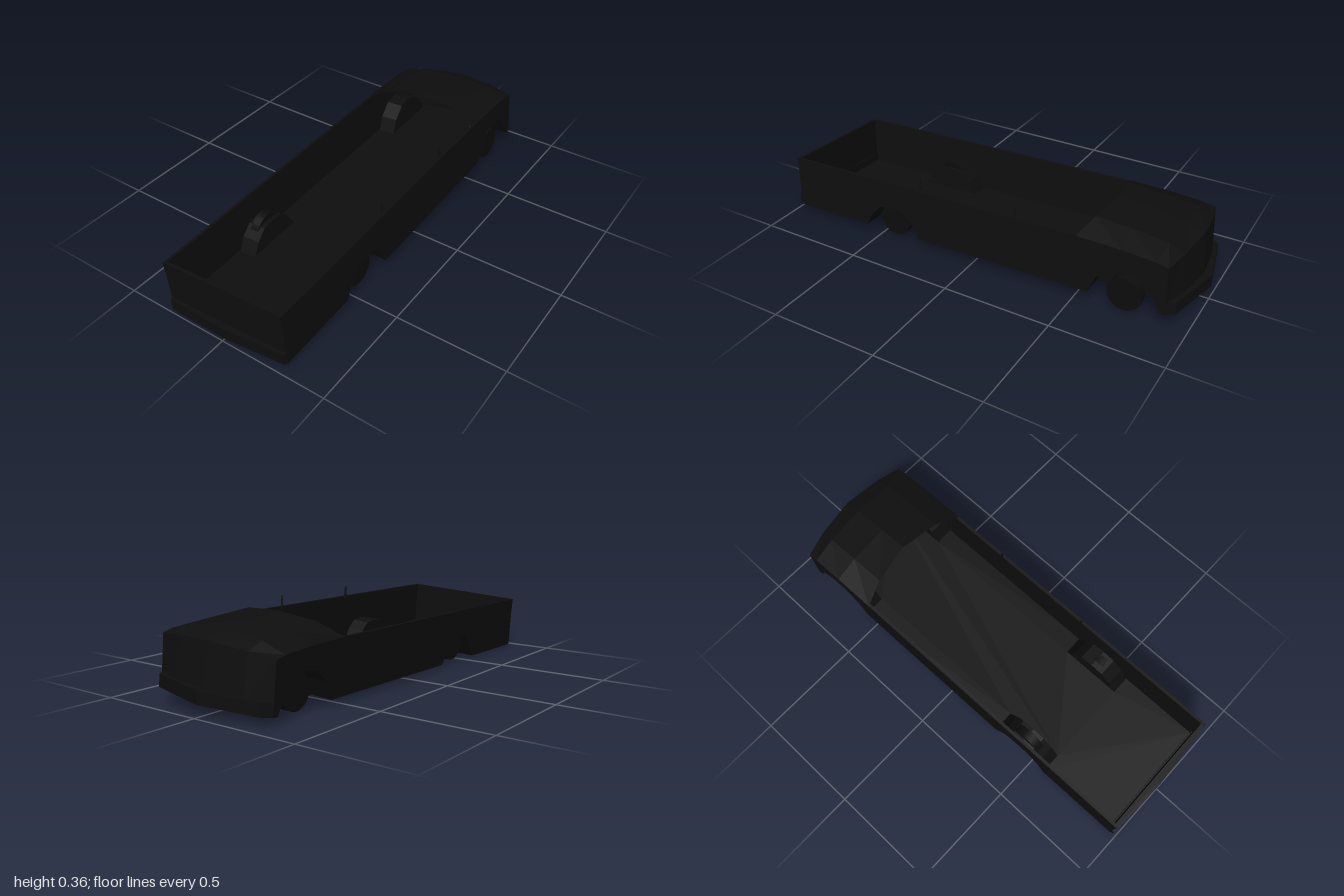
import * as THREE from 'three';

const paint = new THREE.MeshStandardMaterial({ color: 0x0e0e0e, side: THREE.DoubleSide });
paint.name = 'black paint';
const rubber = new THREE.MeshStandardMaterial({ color: 0x0d0d0d });
rubber.name = 'black rubber';

const BOTTOM = 0.035, HALF = 0.3, WELL = 0.2;

// wheel arch outlines as (z, y), running front to back
const frontArch = [[-0.88, BOTTOM], [-0.84, 0.12], [-0.78, 0.168], [-0.72, 0.183], [-0.66, 0.17], [-0.6, 0.115], [-0.565, BOTTOM]];
const rearArch = [[0.28, BOTTOM], [0.32, 0.11], [0.36, 0.148], [0.42, 0.155], [0.48, 0.148], [0.53, 0.105], [0.57, BOTTOM]];

const shapeOf = pts => new THREE.Shape(pts.map(p => new THREE.Vector2(...p)));

function add(parent, name, geometry, material = paint) {
  const mesh = new THREE.Mesh(geometry, material);
  mesh.name = name;
  parent.add(mesh);
  return mesh;
}

// flat-shaded skin stretched over rows of points
function skin(rows) {
  const n = rows[0].length, index = [];
  for (let r = 0; r < rows.length - 1; r++) {
    for (let i = 0; i < n - 1; i++) {
      const a = r * n + i, b = a + 1, c = a + n, d = c + 1;
      index.push(a, b, c, b, d, c);
    }
  }
  const g = new THREE.BufferGeometry();
  g.setAttribute('position', new THREE.Float32BufferAttribute(rows.flat(2), 3));
  g.setIndex(index);
  const flat = g.toNonIndexed();
  flat.computeVertexNormals();
  return flat;
}

// extrude a plan outline (x, z) downwards from height top
function slab(outline, top, depth) {
  const g = new THREE.ExtrudeGeometry(shapeOf(outline), { depth, bevelEnabled: false });
  return g.rotateX(Math.PI / 2).translate(0, top, 0);
}

// mirror a half outline across x = 0
const mirrored = half => [...half, ...half.map(([x, z]) => [-x, z]).reverse()];

export function createModel() {
  const model = new THREE.Group();
  model.name = 'openCarBody';

  // the shell leans slightly on its wheels
  const shell = new THREE.Group();
  shell.name = 'shell';
  shell.rotation.set(0.018, 0.011, 0.058);
  model.add(shell);

  // side walls with arches cut from the lower edge
  const wall = shapeOf([[0.972, 0.28], [-0.5, 0.28], [-0.7, 0.275], [-0.85, 0.262], [-0.9, 0.25],
    [-0.905, BOTTOM], ...frontArch, ...rearArch, [0.96, BOTTOM]]);
  for (const side of [1, -1]) {
    const label = side > 0 ? 'left' : 'right';
    const g = new THREE.ExtrudeGeometry(wall, { depth: 0.014, bevelEnabled: false });
    g.rotateY(-Math.PI / 2).translate(side > 0 ? HALF : -HALF + 0.014, 0, 0);
    add(shell, label + 'SideWall', g);

    // inner wheel wells
    for (const [name, arch] of [['Front', frontArch], ['Rear', rearArch]]) {
      const well = new THREE.Group();
      well.name = label + name + 'WheelWell';
      shell.add(well);
      const rows = [HALF - 0.002, WELL].map(x => arch.map(([z, y]) => [side * x, y, z]));
      add(well, 'archLining', skin(side > 0 ? rows : rows.reverse()));
      const cap = new THREE.ShapeGeometry(shapeOf(arch));
      add(well, 'wellInnerFace', cap.rotateY(-Math.PI / 2).translate(side * WELL, 0, 0));
    }
  }

  // floor pan notched around the wells
  const notch = arch => [[HALF - 0.005, arch[0][0]], [WELL, arch[0][0]], [WELL, arch[6][0]], [HALF - 0.005, arch[6][0]]];
  add(shell, 'floor', slab(mirrored([[0, -0.96], [0.27, -0.91], [HALF - 0.005, -0.9],
    ...notch(frontArch), ...notch(rearArch), [HALF - 0.005, 0.96]]), 0.05, 0.015));

  // tail panel
  add(shell, 'tailPanel', new THREE.BoxGeometry(2 * HALF, 0.245, 0.014)).position.set(0, 0.1575, 0.962);

  // hood and nose, lofted from the cowl forward; entries are side, shoulder, centre
  const xs = [HALF, 0.185, 0];
  const sections = [
    { z: [-0.5, -0.535, -0.56], y: [0.28, 0.328, 0.346] },
    { z: [-0.7, -0.7, -0.7], y: [0.275, 0.315, 0.33] },
    { z: [-0.85, -0.855, -0.86], y: [0.262, 0.296, 0.306] },
    { z: [-0.9, -0.925, -0.945], y: [0.25, 0.265, 0.275] },
    { z: [-0.905, -0.94, -0.965], y: [0.08, 0.08, 0.08] },
  ];
  add(shell, 'hood', skin(sections.map(s => [0, 1, 2, 1, 0].map((k, i) =>
    [i < 2 ? xs[k] : -xs[k], s.y[k], s.z[k]]))));

  // bumpers with a shallow point in plan
  add(shell, 'frontBumper', slab(mirrored([[0, -0.999], [0.275, -0.94], [HALF, -0.9], [0.28, -0.885], [0, -0.93]]), 0.092, 0.055));
  add(shell, 'rearBumper', slab(mirrored([[0, 0.997], [0.295, 0.982], [0.3, 0.95], [0, 0.95]]), 0.09, 0.055));

  // lock pins on one wall
  for (const z of [0.27, -0.21]) {
    add(shell, 'lockPin', new THREE.CylinderGeometry(0.004, 0.006, 0.06, 8)).position.set(0.285, 0.3, z);
  }

  // upright wheels
  for (const x of [0.245, -0.245]) {
    for (const z of [0.43, -0.72]) {
      const g = new THREE.CylinderGeometry(0.077, 0.077, 0.04, 24).rotateZ(Math.PI / 2);
      add(model, 'wheel', g, rubber).position.set(x, 0.086, z);
    }
  }
  return model;
}
